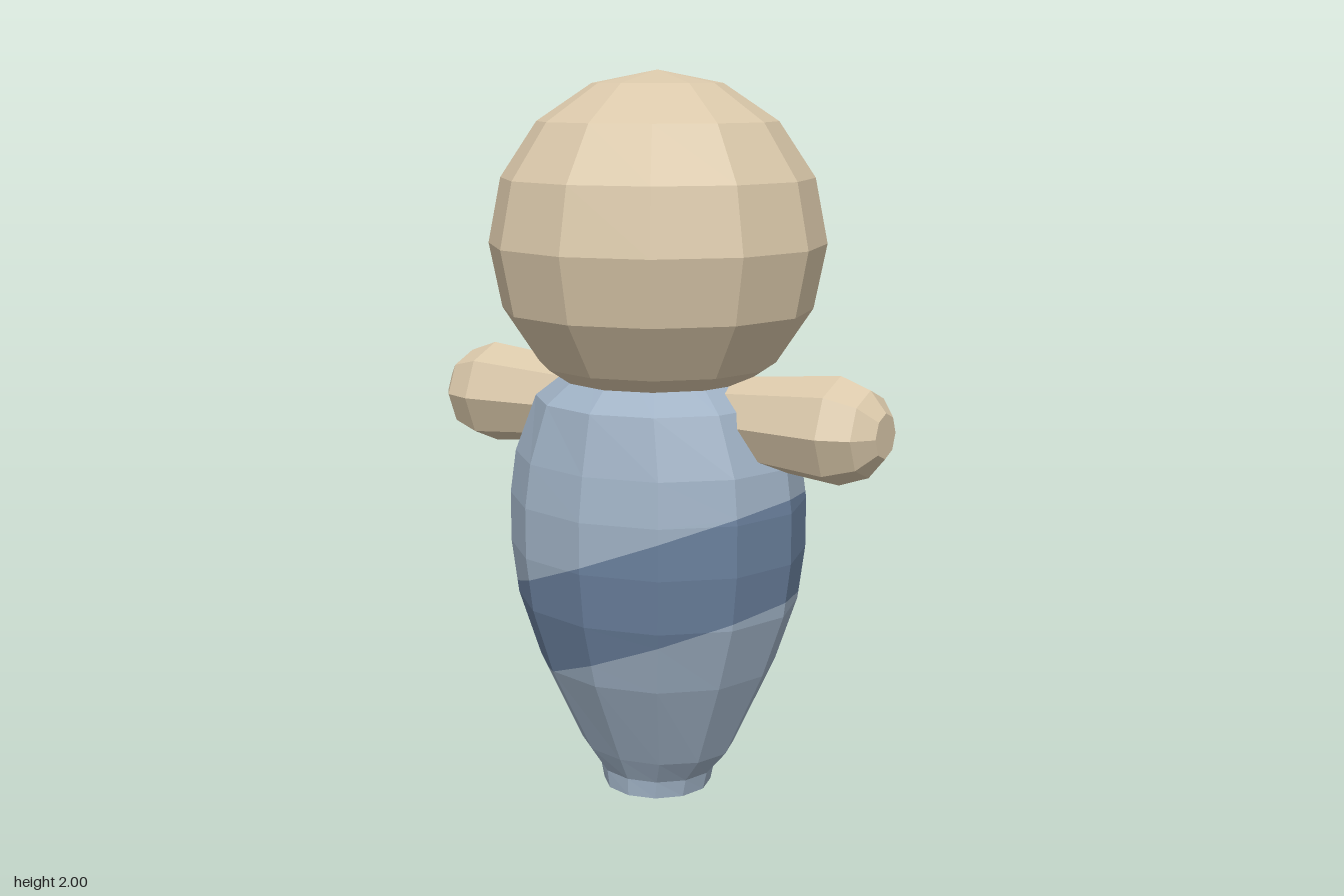
import * as THREE from 'three';

const flat = (name, color) => {
  const m = new THREE.MeshStandardMaterial({ color, flatShading: true });
  m.name = name;
  return m;
};

// Body cross-sections: height, half width, half depth
const RINGS = [
  [0, 0.153, 0.153], [0.05, 0.165, 0.156], [0.12, 0.225, 0.194],
  [0.37, 0.34, 0.314], [0.55, 0.403, 0.366], [0.7, 0.423, 0.384],
  [0.84, 0.423, 0.384], [0.96, 0.407, 0.367], [1.12, 0.339, 0.331],
  [1.25, 0.17, 0.17],
];
const SIDES = 12;
const SLOPE = 0.384;      // tilt of the sash
const SASH_LOW = 0.434, SASH_HIGH = 0.717;

// Keep the part of a polygon on the positive side of sign * (y - slope * x - level)
function clip(poly, level, sign) {
  const out = [];
  const side = (p) => sign * (p.y - SLOPE * p.x - level);
  poly.forEach((a, i) => {
    const b = poly[(i + 1) % poly.length];
    const da = side(a), db = side(b);
    if (da >= 0) out.push(a);
    if ((da > 0 && db < 0) || (da < 0 && db > 0)) out.push(a.clone().lerp(b, da / (da - db)));
  });
  return out;
}

// Facets of the body, bottom cap included
function bodyPolygons() {
  const point = (r, i) => {
    const t = (i / SIDES) * Math.PI * 2;
    return new THREE.Vector3(r[1] * Math.cos(t), r[0], r[2] * Math.sin(t));
  };
  const polys = [];
  for (let j = 0; j < RINGS.length - 1; j++) {
    for (let i = 0; i < SIDES; i++) {
      const lo = RINGS[j], hi = RINGS[j + 1];
      polys.push([point(lo, i), point(hi, i), point(hi, i + 1), point(lo, i + 1)]);
    }
  }
  polys.push(Array.from({ length: SIDES }, (_, i) => point(RINGS[0], i)));
  return polys;
}

function polygonMesh(name, polys, material) {
  const pos = [];
  for (const p of polys) {
    for (let i = 1; i < p.length - 1; i++) {
      for (const v of [p[0], p[i], p[i + 1]]) pos.push(v.x, v.y, v.z);
    }
  }
  const geo = new THREE.BufferGeometry();
  geo.setAttribute('position', new THREE.Float32BufferAttribute(pos, 3));
  geo.computeVertexNormals();
  const mesh = new THREE.Mesh(geo, material);
  mesh.name = name;
  return mesh;
}

export function createModel() {
  const group = new THREE.Group();
  group.name = 'figure';
  const skin = flat('tan', 0xdac8aa);
  const cloth = flat('pale blue', 0x9fb1c4);
  const sashBlue = flat('dark blue', 0x6a809d);

  // Body, split by the two slanted edges of the sash
  const polys = bodyPolygons();
  group.add(
    polygonMesh('lowerBody', polys.map((p) => clip(p, SASH_LOW, -1)), cloth),
    polygonMesh('sash', polys.map((p) => clip(clip(p, SASH_LOW, 1), SASH_HIGH, -1)), sashBlue),
    polygonMesh('upperBody', polys.map((p) => clip(p, SASH_HIGH, 1)), cloth),
  );

  // Head
  const head = new THREE.Mesh(new THREE.SphereGeometry(0.46, 12, 8), skin);
  head.name = 'head';
  head.position.y = 1.54;
  group.add(head);

  // Arms: stubby tapered rods with rounded ends
  const profile = [[0, 0.15], [0.105, 0.15], [0.145, 0.56], [0.115, 0.645], [0.06, 0.69], [0, 0.69]]
    .map(([r, l]) => new THREE.Vector2(r, l));
  const armGeo = new THREE.LatheGeometry(profile, 8);
  for (const [name, s] of [['leftArm', 1], ['rightArm', -1]]) {
    const arm = new THREE.Mesh(armGeo, skin);
    arm.name = name;
    arm.rotation.z = -s * Math.PI / 2;
    arm.position.y = 1.08;
    group.add(arm);
  }
  return group;
}
